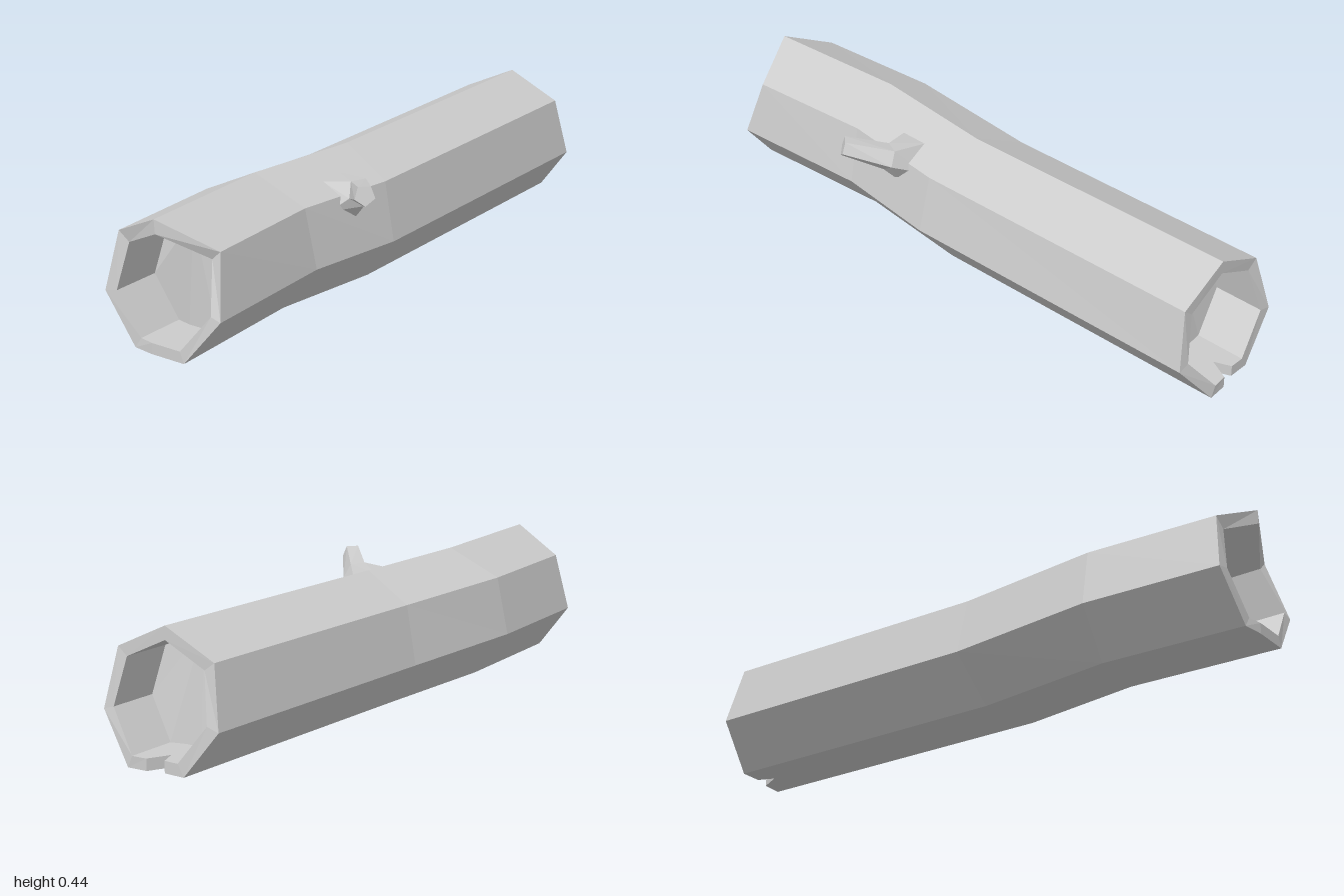
import * as THREE from 'three';

// Skin a list of rings (equal point counts, counter-clockwise about the travel direction)
function loft(rings, name) {
  const pos = [];
  const tri = (a, b, c) => pos.push(...a, ...b, ...c);
  const n = rings[0].length;
  for (let r = 0; r < rings.length - 1; r++) {
    const a = rings[r], b = rings[r + 1];
    for (let i = 0; i < n; i++) {
      const j = (i + 1) % n;
      tri(a[i], a[j], b[j]);
      tri(a[i], b[j], b[i]);
    }
  }
  const first = rings[0], last = rings[rings.length - 1];
  for (let i = 1; i < n - 1; i++) {
    tri(first[0], first[i + 1], first[i]);
    tri(last[0], last[i], last[i + 1]);
  }
  const geo = new THREE.BufferGeometry();
  geo.setAttribute('position', new THREE.Float32BufferAttribute(pos, 3));
  geo.computeVertexNormals();
  const mesh = new THREE.Mesh(geo, new THREE.MeshStandardMaterial({ color: 0xcccccc, flatShading: true }));
  mesh.name = name;
  return mesh;
}

// Seven-sided section as [y, z]; three extra points on the flat bottom carry the notch
const OUTER = [
  [0.44, -0.037], [0.355, 0.142], [0.163, 0.182], [0.012, 0.06],
  [0.012, -0.008], [0.012, -0.043], [0.012, -0.065],
  [0.012, -0.137], [0.163, -0.258], [0.355, -0.217],
];
const INNER = [
  [0.397, -0.037], [0.328, 0.108], [0.175, 0.143], [0.05, 0.043],
  [0.05, -0.008], [0.05, -0.043], [0.05, -0.065],
  [0.05, -0.115], [0.175, -0.215], [0.328, -0.18],
];

// Ragged x position of each rim point
const RIGHT_X = [0.935, 0.94, 0.965, 1, 0.995, 0.925, 0.98, 0.98, 0.965, 0.93];
const LEFT_X = [-1, -0.92, -0.975, -1, -1, -1, -1, -0.99, -0.98, -0.955];
const HOLLOW = 0.17;

// Place a section: x per point, plus an offset in y and z
const ring = (section, xAt, dy = 0, dz = 0) =>
  section.map(([y, z], i) => [xAt(i, z), y + dy, z + dz]);

// Five-sided ring around a centre, perpendicular to a direction
function twigRing(centre, dir, radius) {
  const d = new THREE.Vector3(...dir).normalize();
  const side = new THREE.Vector3(0, 1, 0).cross(d).normalize();
  const up = d.clone().cross(side);
  return Array.from({ length: 5 }, (_, i) => {
    const a = Math.PI * 0.3 + i * Math.PI * 0.4;
    return new THREE.Vector3(...centre)
      .addScaledVector(side, Math.cos(a) * radius)
      .addScaledVector(up, Math.sin(a) * radius)
      .toArray();
  });
}

export function createModel() {
  const group = new THREE.Group();
  group.name = 'hollowLog';

  // Trunk: left hollow, left rim, bent bark, right rim, right hollow
  const cap = (i) => (i > 3 && i < 7 ? 0.985 : RIGHT_X[i]) - HOLLOW;
  group.add(loft([
    ring(INNER, (i) => LEFT_X[i] + HOLLOW, 0, -0.003),
    ring(INNER, (i) => LEFT_X[i], 0, -0.003),
    ring(OUTER, (i) => LEFT_X[i], 0.002, -0.006),
    ring(OUTER, (i, z) => -0.5 + 0.1 * (z + 0.04), 0, -0.036),
    ring(OUTER, (i, z) => -0.07 - 0.22 * (z + 0.04), -0.01, 0),
    ring(OUTER, (i) => RIGHT_X[i]),
    ring(INNER, (i) => RIGHT_X[i]),
    ring(INNER, cap),
  ], 'trunk'));

  // Broken branch stub on the front
  group.add(loft([
    twigRing([-0.265, 0.325, 0.08], [0.05, 0.5, 0.85], 0.085),
    twigRing([-0.275, 0.362, 0.165], [-0.35, 0.35, 0.8], 0.046),
    twigRing([-0.385, 0.4, 0.26], [-0.6, 0.25, 0.65], 0.034),
  ], 'branchStub'));

  // Settle on the ground
  group.position.y = -0.002;
  return group;
}
